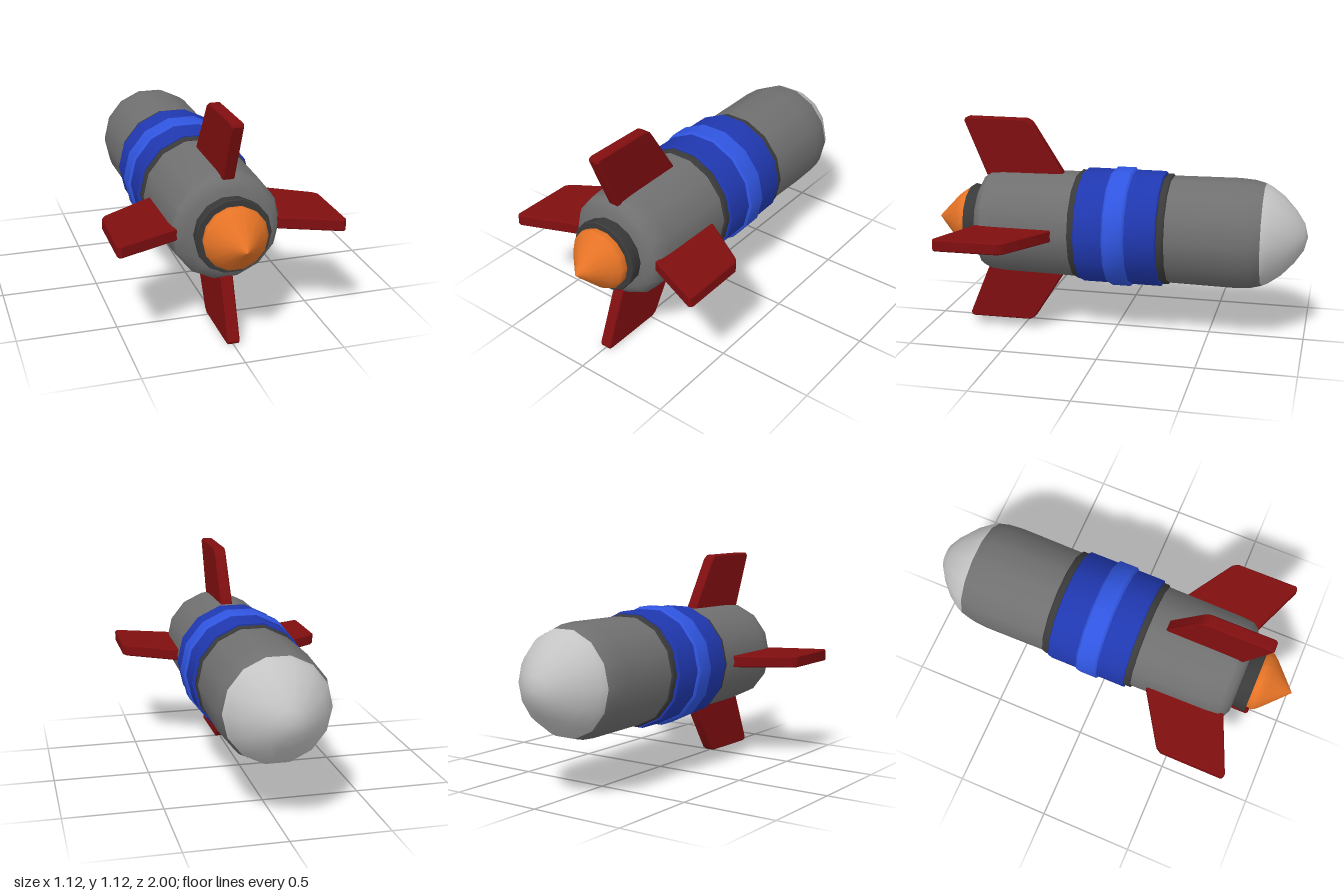
import * as THREE from 'three';
import { toCreasedNormals } from 'three/addons/utils/BufferGeometryUtils.js';

const SIDES = 14;

function paint(name, color) {
  const m = new THREE.MeshStandardMaterial({ color });
  m.name = name;
  return m;
}

// Solid of revolution about z; profile is [radius, z] with z increasing
function turned(name, profile, material) {
  const points = profile.map(([r, z]) => new THREE.Vector2(r, z));
  const g = new THREE.LatheGeometry(points, SIDES, Math.PI / 2).rotateX(Math.PI / 2);
  const mesh = new THREE.Mesh(toCreasedNormals(g, 0.6), material);
  mesh.name = name;
  return mesh;
}

// Closed band with bevelled rims
function band(name, r, z0, z1, bevel, material) {
  return turned(name, [
    [0, z0], [r - bevel, z0], [r, z0 + bevel],
    [r, z1 - bevel], [r - bevel, z1], [0, z1],
  ], material);
}

export function createModel() {
  const grey = paint('body grey', 0x707070);
  const pale = paint('nose pale grey', 0xc4c4c4);
  const blue = paint('deep blue', 0x2038b0);
  const brightBlue = paint('bright blue', 0x3055e0);
  const dark = paint('dark trim', 0x3a3a3a);
  const red = paint('fin red', 0x800e10);
  const orange = paint('flame orange', 0xe57326);

  const model = new THREE.Group();
  model.name = 'rocket';
  const hull = new THREE.Group();
  hull.name = 'hull';
  hull.position.y = 0.56;
  model.add(hull);

  // Nose and body
  hull.add(turned('noseCone', [
    [0, -1], [0.07, -0.982], [0.135, -0.938], [0.205, -0.873], [0.25, -0.81], [0.267, -0.775],
  ], pale));
  hull.add(turned('body', [
    [0.267, -0.775], [0.281, -0.72], [0.287, -0.64], [0.283, -0.3], [0.282, 0.2],
    [0.276, 0.62], [0.27, 0.685], [0.25, 0.715], [0.21, 0.735], [0, 0.74],
  ], grey));

  // Central bands
  hull.add(band('rearTrimRing', 0.292, -0.295, -0.255, 0.006, dark));
  hull.add(band('frontTrimRing', 0.292, 0.165, 0.207, 0.006, dark));
  hull.add(band('blueBand', 0.304, -0.255, 0.173, 0.005, blue));
  hull.add(band('raisedBand', 0.316, -0.095, 0.022, 0.01, brightBlue));

  // Nozzle and flame
  hull.add(turned('nozzle', [[0, 0.725], [0.176, 0.725], [0.188, 0.8], [0.184, 0.806], [0, 0.806]], dark));
  hull.add(turned('flame', [
    [0, 0.79], [0.152, 0.79], [0.16, 0.835], [0.153, 0.85], [0.13, 0.876], [0.05, 0.953], [0, 1],
  ], orange));

  // Four swept fins, outline in (radius, z)
  const outline = new THREE.Shape([
    [0.25, 0.29], [0.277, 0.295], [0.52, 0.448], [0.542, 0.463], [0.558, 0.49],
    [0.56, 0.815], [0.554, 0.827], [0.54, 0.832], [0.25, 0.712],
  ].map(([r, z]) => new THREE.Vector2(r, z)));
  const finGeometry = toCreasedNormals(new THREE.ExtrudeGeometry(outline, {
    depth: 0.05, bevelEnabled: true, bevelSegments: 1,
    bevelSize: 0.006, bevelThickness: 0.006, bevelOffset: -0.006,
  }).translate(0, 0, -0.025).rotateX(Math.PI / 2), 0.5);
  ['leftFin', 'topFin', 'rightFin', 'bottomFin'].forEach((name, i) => {
    const fin = new THREE.Mesh(finGeometry, red);
    fin.name = name;
    fin.rotation.z = i * Math.PI / 2;
    hull.add(fin);
  });

  return model;
}
